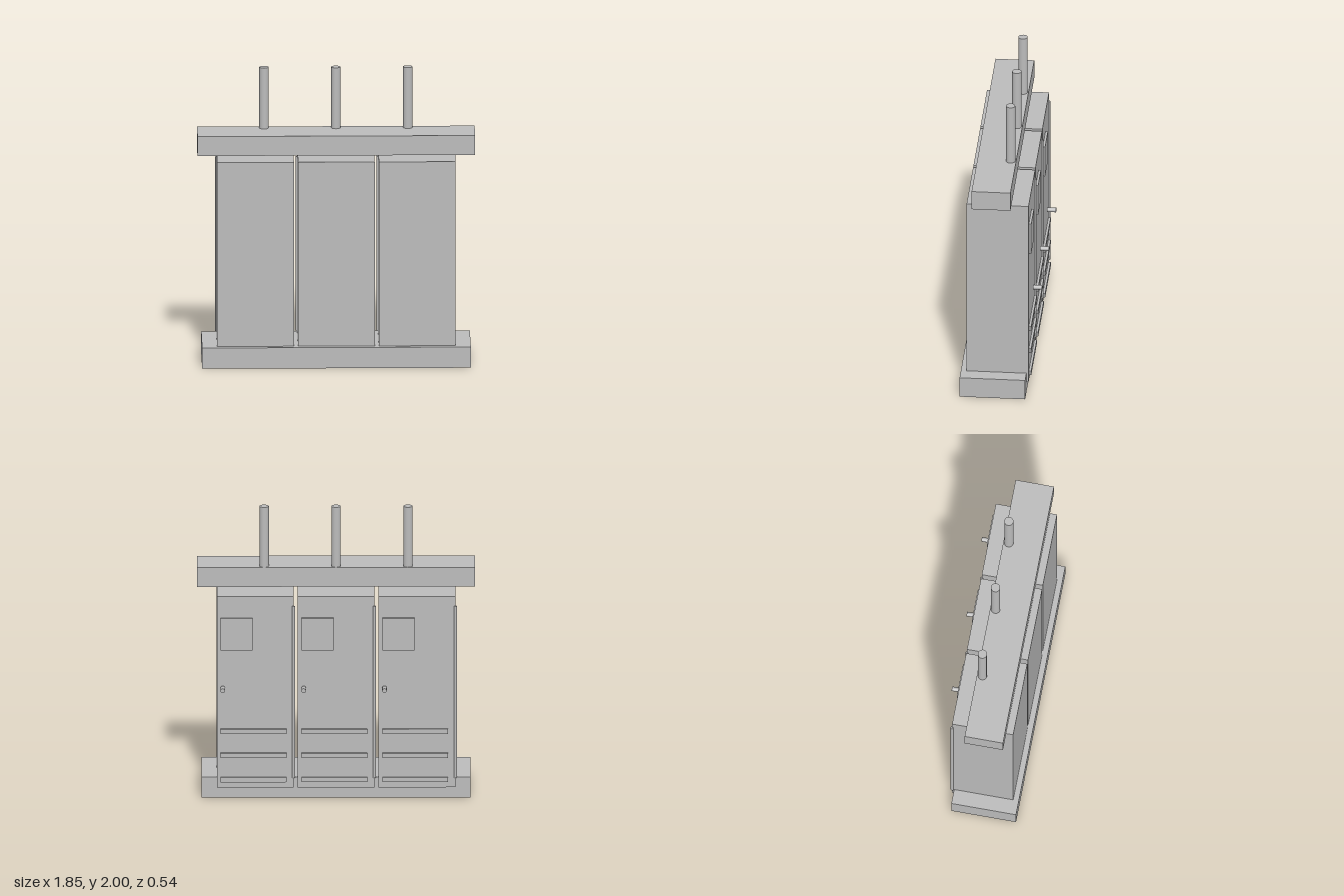
import * as THREE from 'three';

export function createModel() {
  const model = new THREE.Group();
  model.name = 'switchgearCabinets';
  const grey = new THREE.MeshStandardMaterial({ color: 0xbbbbbb });
  grey.name = 'grey';

  // Box given by its limits on each axis
  function box(parent, name, [x0, x1], [y0, y1], [z0, z1]) {
    const mesh = new THREE.Mesh(new THREE.BoxGeometry(x1 - x0, y1 - y0, z1 - z0), grey);
    mesh.position.set((x0 + x1) / 2, (y0 + y1) / 2, (z0 + z1) / 2);
    mesh.name = name;
    parent.add(mesh);
  }

  function rod(parent, name, radius, length, x, y, z, sides) {
    const mesh = new THREE.Mesh(new THREE.CylinderGeometry(radius, radius, length, sides), grey);
    mesh.position.set(x, y, z);
    mesh.name = name;
    parent.add(mesh);
    return mesh;
  }

  // Plinth and overhead duct
  box(model, 'plinth', [-0.897, 0.897], [0, 0.143], [-0.169, 0.27]);
  box(model, 'overheadDuct', [-0.927, 0.927], [1.446, 1.58], [-0.073, 0.187]);

  // Conduits rising from the duct
  for (const x of [-0.48, 0, 0.48]) rod(model, 'conduit', 0.031, 0.42, x, 1.79, -0.036, 16);

  // Three identical cabinets, doors facing the back
  for (const x of [-0.54, 0, 0.54]) {
    const cabinet = new THREE.Group();
    cabinet.name = 'cabinet';
    cabinet.position.x = x;
    box(cabinet, 'cabinetBody', [-0.256, 0.256], [0.075, 1.412], [-0.183, 0.232]);
    box(cabinet, 'displayPanel', [0.017, 0.23], [1.04, 1.264], [-0.199, -0.18]);
    for (const y of [0.132, 0.302, 0.471])
      box(cabinet, 'vent', [-0.208, 0.23], [y - 0.016, y + 0.016], [-0.199, -0.18]);

    // Hinge along the door edge, and the door handle
    rod(cabinet, 'hinge', 0.01, 1.202, -0.256, 0.744, -0.183, 10);
    rod(cabinet, 'handle', 0.0155, 0.06, 0.217, 0.78, -0.242, 12).rotation.x = Math.PI / 2;
    model.add(cabinet);
  }
  return model;
}
